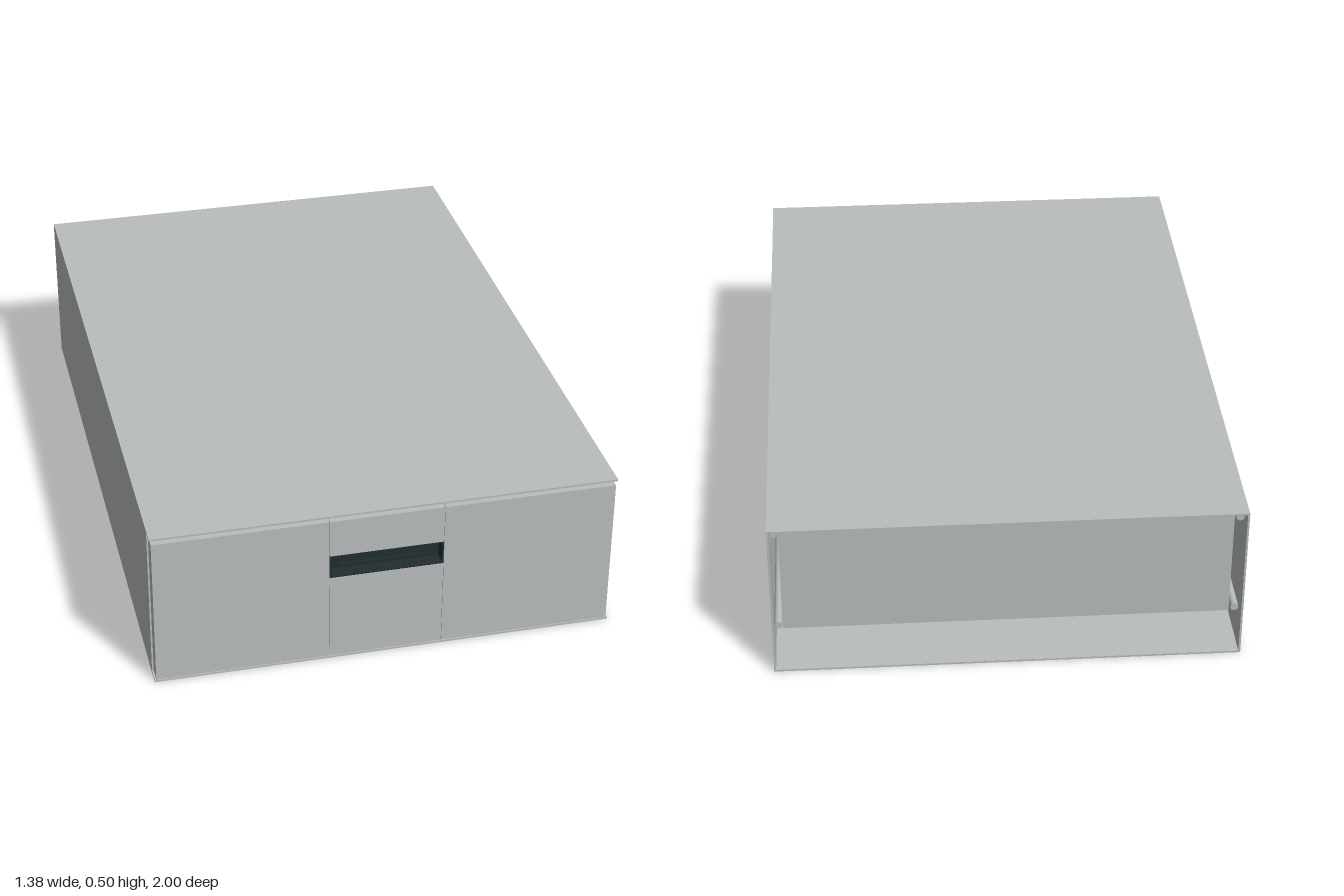
import * as THREE from 'three';

export function createModel() {
  const model = new THREE.Group();
  model.name = 'drawerCabinet';
  const steel = new THREE.MeshStandardMaterial({ color: 0xb9bdbd });
  steel.name = 'light grey steel';
  const dark = new THREE.MeshStandardMaterial({ color: 0x222d2d });
  dark.name = 'dark plastic';

  // Box given by its lower and upper limits on each axis
  function box(name, [x0, x1], [y0, y1], [z0, z1], material = steel, parent = model) {
    const mesh = new THREE.Mesh(new THREE.BoxGeometry(x1 - x0, y1 - y0, z1 - z0), material);
    mesh.position.set((x0 + x1) / 2, (y0 + y1) / 2, (z0 + z1) / 2);
    mesh.name = name;
    parent.add(mesh);
    return mesh;
  }
  const W = 0.69, H = 0.5, T = 0.006, frontZ = 0.955;
  const span = (s, a, b) => (s > 0 ? [a, b] : [-b, -a]);

  // Outer shell, open at the front and back
  const shell = new THREE.Group();
  shell.name = 'shell';
  model.add(shell);
  box('topPanel', [-W, W], [H - T, H], [-1, 1], steel, shell);
  box('bottomPanel', [-W, W], [0, T], [-1, 1], steel, shell);
  for (const s of [-1, 1]) {
    box('sidePanel', span(s, W - T, W), [T, H - T], [-1, frontZ], steel, shell);
    box('floorPad', span(s, 0.585, 0.635), [T, 0.009], [0.86, 0.95], dark, shell);
  }

  // Open-topped drawer box
  const drawer = new THREE.Group();
  drawer.name = 'drawer';
  model.add(drawer);
  const inner = 0.66, low = 0.105, high = 0.475, backZ = -0.93;
  box('drawerFloor', [-inner, inner], [low, low + T], [backZ, frontZ], steel, drawer);
  box('drawerBack', [-inner, inner], [low, high], [backZ, backZ + T], steel, drawer);
  for (const s of [-1, 1]) {
    box('drawerSide', span(s, inner - T, inner), [low, high], [backZ, frontZ], steel, drawer);
    // Round slide rails between drawer and shell
    for (const y of [0.135, 0.458]) {
      const rail = new THREE.Mesh(new THREE.CylinderGeometry(0.012, 0.012, 1.88, 16), steel);
      rail.rotation.x = Math.PI / 2;
      rail.position.set(s * 0.672, y, -0.015);
      rail.name = 'slideRail';
      drawer.add(rail);
    }
  }

  // Drawer front: two wings and a centre section around the handle pocket
  const front = new THREE.Group();
  front.name = 'drawerFront';
  model.add(front);
  const y0 = 0.009, y1 = 0.481, px = 0.17, py0 = 0.286, py1 = 0.362, gap = 0.001;
  for (const s of [-1, 1]) {
    box('frontWing', span(s, px + gap, 0.685), [y0, y1], [frontZ, 1], steel, front);
  }
  box('centreLower', [-px, px], [y0, py0], [frontZ, 1], steel, front);
  box('centreUpper', [-px, px], [py1, y1], [frontZ, 1], steel, front);
  box('frontBacking', [-0.66, 0.66], [low, high], [frontZ - T, frontZ], steel, front);

  // Recessed handle pocket with a finger lip
  const t = 0.004;
  box('pocketBack', [-px, px], [py0, py1], [frontZ, frontZ + t], dark, front);
  box('pocketFloor', [-px, px], [py0, py0 + t], [frontZ + t, 0.999], dark, front);
  box('pocketRoof', [-px, px], [py1 - t, py1], [frontZ + t, 0.999], dark, front);
  for (const s of [-1, 1]) {
    box('pocketEnd', span(s, px - t, px), [py0 + t, py1 - t], [frontZ + t, 0.999], dark, front);
  }
  box('fingerLip', [-0.14, 0.14], [0.295, 0.306], [frontZ + t, frontZ + 0.012], dark, front);

  return model;
}
